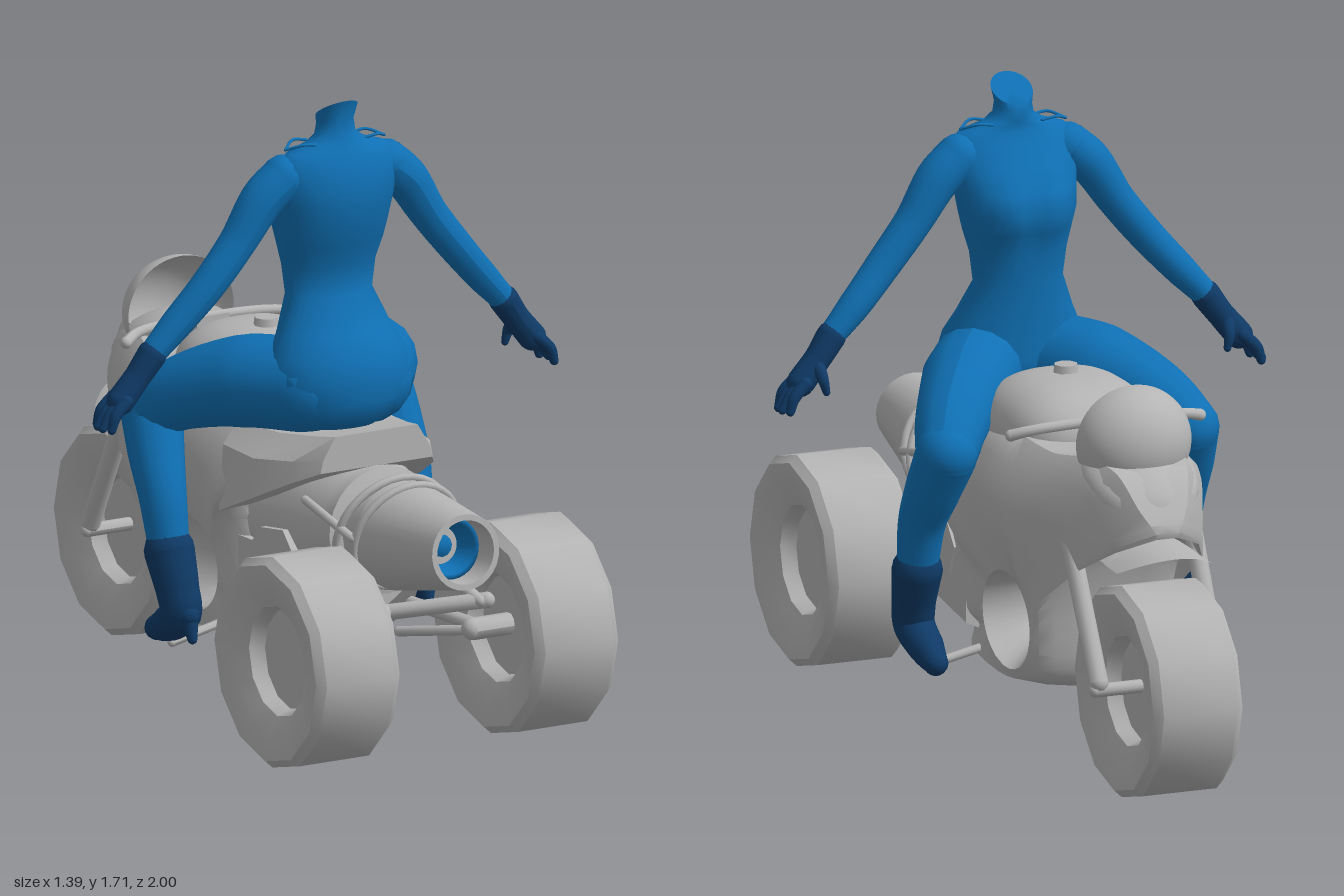
import * as THREE from 'three';
import { mergeGeometries, toCreasedNormals } from 'three/addons/utils/BufferGeometryUtils.js';

const V = (x, y, z) => new THREE.Vector3(x, y, z);
const material = (name, color) => {
  const m = new THREE.MeshStandardMaterial({ color, side: THREE.DoubleSide });
  m.name = name;
  return m;
};

// Skin a surface over closed rings of equal point count
function loft(rings, crease = 0.8, caps = true) {
  const n = rings[0].length, pos = [], index = [];
  const all = [...rings];
  if (caps) {
    const mid = r => r.reduce((a, p) => a.add(p), V(0, 0, 0)).divideScalar(n);
    all.unshift(Array(n).fill(mid(rings[0])));
    all.push(Array(n).fill(mid(rings[rings.length - 1])));
  }
  all.forEach(r => r.forEach(p => pos.push(p.x, p.y, p.z)));
  for (let i = 0; i < all.length - 1; i++) for (let j = 0; j < n; j++) {
    const a = i * n + j, b = i * n + (j + 1) % n;
    index.push(a, a + n, b, b, a + n, b + n);
  }
  const g = new THREE.BufferGeometry();
  g.setAttribute('position', new THREE.Float32BufferAttribute(pos, 3));
  g.setIndex(index);
  return toCreasedNormals(g, crease);
}

// Round limb through [x, y, z, radius] stations with rounded ends
function limb(pts, sides = 16, steps = 28) {
  const curve = new THREE.CatmullRomCurve3(pts.map(p => V(p[0], p[1], p[2])));
  const g = new THREE.TubeGeometry(curve, steps, 1, sides), pos = g.attributes.position;
  for (let i = 0; i <= steps; i++) {
    const c = curve.getPointAt(i / steps), t = curve.getUtoTmapping(i / steps) * (pts.length - 1);
    const k = Math.min(Math.floor(t), pts.length - 2);
    const r = THREE.MathUtils.lerp(pts[k][3], pts[k + 1][3], t - k);
    for (let j = 0; j <= sides; j++) {
      const id = i * (sides + 1) + j, v = V(0, 0, 0).fromBufferAttribute(pos, id).sub(c).multiplyScalar(r).add(c);
      pos.setXYZ(id, v.x, v.y, v.z);
    }
  }
  g.computeVertexNormals();
  const ends = [pts[0], pts[pts.length - 1]].map(p => new THREE.SphereGeometry(p[3], sides, 8).translate(p[0], p[1], p[2]));
  return mergeGeometries([g, ...ends]);
}
const rod = (a, b, r) => limb([[...a, r], [...b, r]], 10, 2);

// Half of the fairing, wrapped around the side opening
function fairingSide(s) {
  // outline stations: z, y, half width at the edge, half width of the bulge
  const outline = [
    [.18, .5, .16, .22], [.15, .58, .2, .25], [.2, .68, .22, .27], [.15, .8, .18, .27], [0, .87, .17, .28],
    [-.2, .88, .19, .29], [-.4, .87, .17, .27], [-.55, .89, .13, .24], [-.67, .87, .1, .21], [-.74, .79, .07, .19], [-.77, .71, .03, .18],
    [-.6, .69, .1, .19], [-.43, .61, .13, .2], [-.37, .45, .09, .19], [-.34, .25, .06, .18], [-.28, .19, .04, .18],
    [-.1, .175, .04, .19], [.15, .19, .04, .2], [.35, .2, .05, .14], [.36, .24, .12, .17], [.22, .32, .16, .21]];
  const closed = k => new THREE.CatmullRomCurve3(outline.map(o => V(o[0], o[1], o[k])), true, 'catmullrom', 0.4);
  const edge = closed(2), bulge = closed(3), n = 84, rings = Array.from({ length: 8 }, () => []);
  for (let i = 0; i < n; i++) {
    const e = edge.getPoint(i / n), w = bulge.getPoint(i / n).z;
    const a = Math.atan2(e.y - .37, e.x + .07), c = Math.cos(a), d = Math.sin(a);
    const hole = [-.07 + .06 * c, .365 + .085 * d], rim = [-.15 + .16 * c, .355 + .13 * d];
    const put = (k, x, z, y) => rings[k].push(V(s * x, y, z));
    const mix = (k, t, x) => put(k, x, rim[0] + (e.x - rim[0]) * t, rim[1] + (e.y - rim[1]) * t);
    put(0, 0, ...hole);
    put(1, .08, ...hole);
    put(2, .13, (hole[0] + rim[0]) / 2, (hole[1] + rim[1]) / 2);
    put(3, .2, ...rim);
    mix(4, .6, w);
    mix(5, .85, w * .6 + e.z * .4);
    mix(6, 1, e.z);
    mix(7, 1, 0);
  }
  return loft(rings, 0.8, false);
}

export function createModel() {
  const root = new THREE.Group();
  const grey = material('bodyGrey', 0xb4b4b4), blue = material('suitBlue', 0x0f70b4), navy = material('gloveNavy', 0x0f3a66);
  const add = (name, geo, mat = grey) => {
    const m = new THREE.Mesh(geo, mat);
    m.name = name;
    root.add(m);
    return m;
  };

  // Wheels: faceted balloon tyres with dished hubs
  const profile = [[0, .05], [.135, .05], [.15, .09], [.22, .122], [.268, .127], [.288, .105]];
  const tyre = [...profile, ...profile.slice().reverse().map(([r, a]) => [r, -a])].map(p => new THREE.Vector2(...p));
  const wheel = () => toCreasedNormals(new THREE.LatheGeometry(tyre, 12).rotateZ(Math.PI / 2), 0.6);
  add('frontWheel', wheel()).position.set(0, .29, -.712);
  for (const s of [1, -1]) add('rearWheel', wheel()).position.set(s * .332, .325, .71);

  // Fairing, tank and seat
  for (const s of [1, -1]) add('fairing', fairingSide(s));
  const tank = new THREE.SphereGeometry(1, 32, 20), tp = tank.attributes.position;
  const square = v => Math.sign(v) * Math.abs(v) ** .75;
  for (let i = 0; i < tp.count; i++) tp.setXYZ(i, .21 * square(tp.getX(i)), .86 + .135 * tp.getY(i), -.1 + .24 * square(tp.getZ(i)));
  tank.computeVertexNormals();
  add('tank', tank);
  add('tankCap', new THREE.CylinderGeometry(.032, .036, .03, 8)).position.set(0, 1, -.08);
  // seat stations: z, top y, bottom y, top half width, bottom half width
  const seat = [[.5, .845, .75, .125, .17], [.42, .83, .71, .14, .22], [.28, .81, .64, .17, .26], [.12, .81, .57, .2, .26]];
  add('seat', loft(seat.map(([z, t, b, wt, wb]) => [[wt, t], [wb * .95, t - .06], [wb, b], [-wb, b], [-wb * .95, t - .06], [-wt, t]]
    .map(([x, y]) => V(x, y, z))), 0.5));

  // Engine casing and exhaust along a slightly rising axis
  const along = (pts, seg = 28) => new THREE.LatheGeometry(pts.map(p => new THREE.Vector2(...p)), seg)
    .rotateX(Math.PI / 2).rotateX(-.1).translate(0, .53, 0);
  add('engineCasing', toCreasedNormals(along([[0, .1], [.19, .1], [.195, .42], [.17, .5], [.17, .55], [.135, .56], [.135, .64], [.148, .65],
    [.102, .975], [.086, .975], [.08, .82], [0, .82]]), .5));
  add('exhaustRing', along([[.05, .84], [.078, .84], [.083, .9], [.07, .9], [.05, .84]]), blue);
  add('exhaustCore', along([[0, .85], [.03, .85], [.03, .83]], 12), blue);
  for (const [z, r] of [[.58, .168], [.65, .155]]) {
    const ring = add('exhaustClamp', new THREE.TorusGeometry(r, .011, 8, 32));
    ring.position.set(0, .53 + z * .1, z);
    ring.rotation.x = .3;
  }
  const panel = new THREE.Shape([[-.47, .47], [-.37, .57], [-.25, .55], [-.18, .47], [-.22, .39], [-.4, .41]].map(p => new THREE.Vector2(...p)));
  const belly = [[.5, .14, .46, .34], [.36, .19, .5, .2], [.1, .21, .5, .185]];
  add('bellyPan', loft(belly.map(([z, w, t, b]) => [[w, t], [w, b + .1], [0, b], [-w, b + .1], [-w, t]].map(([x, y]) => V(x, y, z))), .4));

  // Rear suspension, side panels, forks
  for (const s of [1, -1]) {
    const side = new THREE.ExtrudeGeometry(panel, { depth: .04, bevelEnabled: false });
    add('enginePanel', side.rotateY(Math.PI / 2).translate(s * .19 - .02, 0, 0));
    const links = [[[.12, .34, .3], [.2, .33, .69], .018], [[0, .36, .55], [.22, .4, .7], .022], [[.15, .5, .42], [.2, .4, .7], .016],
      [[.17, .66, .42], [.16, .61, .65], .012], [[.08, .28, .48], [.19, .32, .69], .014], [[.17, .33, .71], [.3, .33, .71], .03]];
    links.forEach(([a, b, r]) => add('suspensionLink', rod([s * a[0], a[1], a[2]], [s * b[0], b[1], b[2]], r)));
    add('fork', rod([s * .175, .67, -.52], [s * .17, .32, -.71], .026));
    add('footPeg', rod([s * .17, .24, .03], [s * .35, .2, .03], .012));
  }
  add('frontAxle', rod([-.18, .3, -.712], [.18, .3, -.712], .018));

  // Front fender, windshield and handlebar
  const fender = new THREE.PlaneGeometry(.27, .3, 12, 8).rotateX(-Math.PI / 2), fp = fender.attributes.position;
  for (let i = 0; i < fp.count; i++) {
    const x = fp.getX(i), z = fp.getZ(i), bend = (x / .135) ** 2;
    fp.setXYZ(i, x, .675 - .045 * bend - .04 * Math.max(0, -z), -.68 + z + (z < 0 ? .08 * bend : 0));
  }
  fender.computeVertexNormals();
  add('frontFender', fender);
  const shield = add('windshield', new THREE.SphereGeometry(1, 28, 14, Math.PI, Math.PI, 0, Math.PI * .6));
  shield.scale.set(.16, .15, .14);
  shield.position.set(0, .92, -.53);
  const nose = add('noseCowl', new THREE.SphereGeometry(1, 24, 14));
  nose.scale.set(.16, .09, .19);
  nose.position.set(0, .83, -.57);
  nose.rotation.x = -.45;
  add('handlebar', limb([[-.27, .915, -.35, .016], [-.22, .93, -.375, .014], [0, .94, -.385, .014], [.22, .93, -.375, .014], [.27, .915, -.35, .016]], 10));
  add('steeringClamp', new THREE.BoxGeometry(.1, .08, .08)).position.set(0, .91, -.4);

  // Rider torso stations: y, z centre, half width, front depth, back depth, tilt
  const torso = [[.82, .33, .08, .05, .05, 0], [.85, .32, .15, .1, .1, 0], [.9, .3, .195, .13, .135, 0], [.96, .3, .205, .13, .142, 0],
    [1.02, .29, .19, .12, .14, 0], [1.08, .27, .16, .1, .122, 0], [1.17, .25, .125, .085, .068, 0], [1.25, .25, .135, .095, .075, 0],
    [1.31, .26, .15, .13, .09, 0], [1.36, .265, .16, .165, .1, 0], [1.42, .275, .168, .15, .105, 0], [1.48, .285, .178, .11, .095, 0],
    [1.54, .29, .18, .075, .075, 0], [1.57, .29, .15, .058, .06, 0], [1.59, .285, .085, .05, .055, 0], [1.61, .28, .056, .048, .05, .15],
    [1.64, .28, .051, .045, .045, .35], [1.675, .29, .057, .052, .05, .65]];
  const torsoRing = ([y, z, rx, front, back, tilt]) => Array.from({ length: 32 }, (_, i) => {
    const a = i / 32 * Math.PI * 2, c = Math.cos(a), d = Math.sin(a);
    const cleft = y > 1.28 && y < 1.45 && d < 0 ? 1 - .14 * Math.exp(-((c / .25) ** 2)) : 1;
    const dz = d * (d < 0 ? front : back) * cleft;
    return V(rx * c, y + tilt * dz, z + dz);
  });
  add('torso', loft(torso.map(torsoRing), 1), blue);

  for (const s of [1, -1]) {
    const put = (name, pts, mat) => add(name, limb(pts.map(([x, ...q]) => [s * x, ...q])), mat);
    put('arm', [[.155, 1.505, .28, .062], [.215, 1.455, .275, .06], [.29, 1.345, .27, .05], [.375, 1.24, .265, .047], [.465, 1.14, .25, .043], [.56, 1.04, .24, .032]], blue);
    put('thigh', [[.09, .93, .29, .125], [.19, .92, .14, .125], [.295, .865, -.01, .1], [.345, .81, -.09, .083]], blue);
    put('shin', [[.345, .8, -.085, .083], [.36, .7, -.035, .075], [.37, .6, .015, .064], [.37, .46, .05, .054]], blue);
    for (const z of [.25, .31]) put('shoulderSeam', [[.07, 1.59, z, .004], [.11, 1.595, z, .004], [.15, 1.58, .28, .004]], blue);
    // boots
    put('boot', [[.37, .46, .05, .068], [.365, .36, .085, .058], [.36, .3, .095, .056], [.355, .25, .02, .048], [.355, .225, -.04, .034]], navy);
    put('bootHeel', [[.36, .3, .135, .03], [.36, .24, .155, .013]], navy);
    // gloves
    put('glove', [[.535, 1.065, .243, .04], [.575, 1.01, .238, .036], [.625, .95, .235, .038]], navy);
    for (let f = 0; f < 4; f++)
      put('finger', [[.625, .955, .2 + f * .022, .018], [.66, .92, .195 + f * .025, .016], [.672 + (f % 3 ? .012 : 0), .885, .193 + f * .026, .012]], navy);
    put('thumb', [[.585, 1, .22, .02], [.58, .965, .19, .015], [.572, .93, .185, .01]], navy);
  }
  return root;
}
